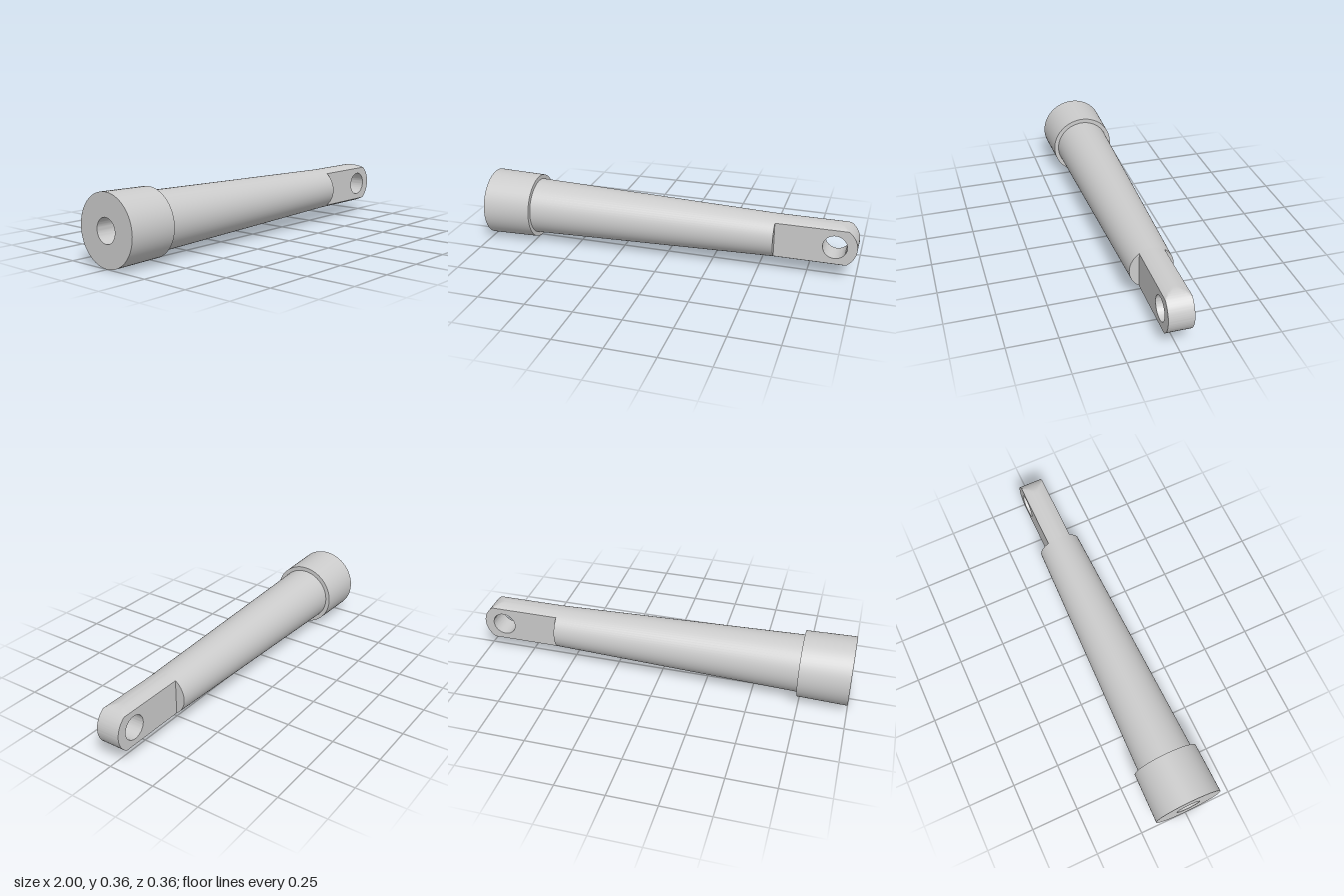
import * as THREE from 'three';
import { toCreasedNormals } from 'three/addons/utils/BufferGeometryUtils.js';

const AXIS_Y = 0.178;     // height of the long axis
const TIP_R = 0.112;      // radius at the slim end and of the rounded tang
const SHOULDER_X = 0.58;  // where the round shaft becomes the flat tang
const EYE_X = 0.888;      // centre of the cross hole
const EYE_R = 0.062;
const HALF_T = 0.063;     // half thickness of the tang

const material = new THREE.MeshStandardMaterial({ color: 0xcccccc });

function addPart(group, name, geometry) {
  const mesh = new THREE.Mesh(toCreasedNormals(geometry, 0.5), material);
  mesh.name = name;
  group.add(mesh);
}

// Turned body along x: [radius, x] from the bore floor, around the collar, to the shoulder
function bodyGeometry() {
  const profile = [
    [0, -0.6], [EYE_R, -0.6], [EYE_R, -1],
    [0.178, -1], [0.172, -0.74], [0.149, -0.74],
    [TIP_R, SHOULDER_X], [0, SHOULDER_X],
  ].map(([r, x]) => new THREE.Vector2(r, x));
  return new THREE.LatheGeometry(profile, 64).rotateZ(-Math.PI / 2);
}

// Flat tang with a round end and an eye, its edges trimmed to the round bar
function tangGeometry() {
  const shape = new THREE.Shape();
  shape.moveTo(SHOULDER_X - 0.01, -TIP_R);
  shape.lineTo(EYE_X, -TIP_R);
  shape.absarc(EYE_X, 0, TIP_R, -Math.PI / 2, Math.PI / 2, false);
  shape.lineTo(SHOULDER_X - 0.01, TIP_R);
  shape.closePath();
  const eye = new THREE.Path();
  eye.absarc(EYE_X, 0, EYE_R, 0, Math.PI * 2, true);
  shape.holes.push(eye);

  const geometry = new THREE.ExtrudeGeometry(shape, {
    depth: HALF_T * 2, steps: 16, curveSegments: 32, bevelEnabled: false,
  });
  geometry.translate(0, 0, -HALF_T);
  const p = geometry.attributes.position;
  for (let i = 0; i < p.count; i++) {
    const h = Math.sqrt(TIP_R ** 2 - p.getZ(i) ** 2);
    p.setY(i, THREE.MathUtils.clamp(p.getY(i), -h, h));
  }
  return geometry;
}

export function createModel() {
  const group = new THREE.Group();
  group.name = 'taperedRodWithEye';
  addPart(group, 'collarAndShaft', bodyGeometry());
  addPart(group, 'eyeTang', tangGeometry());
  group.children.forEach((part) => { part.position.y = AXIS_Y; });
  return group;
}
